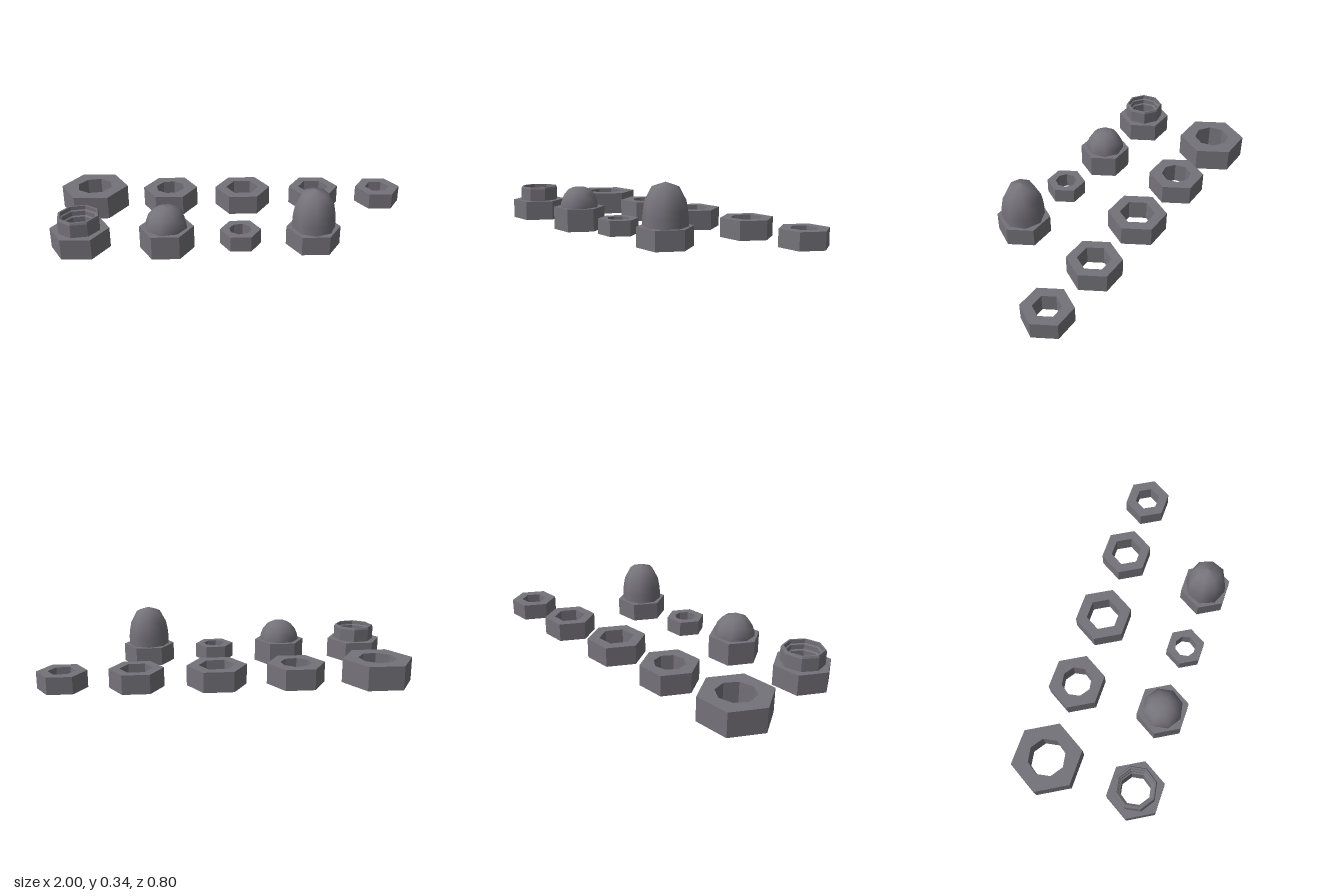
import * as THREE from 'three';

const steel = new THREE.MeshStandardMaterial({ color: 0x75737a });
steel.name = 'dark steel';

const TURN = THREE.MathUtils.degToRad(33); // corner offset of the round bores

function polygon(path, radius, sides, turn = 0) {
  for (let i = 0; i < sides; i++) {
    const a = turn + (i / sides) * Math.PI * 2;
    path[i ? 'lineTo' : 'moveTo'](radius * Math.cos(a), radius * Math.sin(a));
  }
  path.closePath();
  return path;
}

function add(parent, name, geometry) {
  const mesh = new THREE.Mesh(geometry, steel);
  mesh.name = name;
  parent.add(mesh);
  return mesh;
}

// Hexagonal body with a six-sided or eight-sided bore
function hexBody(parent, { r, hole, sides, y0, y1 }) {
  const shape = polygon(new THREE.Shape(), r, 6);
  shape.holes.push(polygon(new THREE.Path(), hole, sides, sides === 8 ? TURN : 0));
  const geometry = new THREE.ExtrudeGeometry(shape, { depth: y1 - y0, bevelEnabled: false });
  geometry.rotateX(-Math.PI / 2).translate(0, y0, 0);
  add(parent, 'hexBody', geometry);
}

function lathe(profile, turn) {
  const points = profile.map(([x, y]) => new THREE.Vector2(x, y));
  return new THREE.LatheGeometry(points, 8, turn);
}

// Smooth eight-sided cap closed by a flat floor inside the bore
function addDome(parent, profile, y, turn) {
  add(parent, 'dome', lathe(profile, turn));
  const floor = new THREE.CircleGeometry(profile[0][0], 8);
  floor.rotateX(Math.PI / 2).translate(0, y, 0);
  add(parent, 'boreFloor', floor);
}

// Raised faceted ring with a stepped inside
function addCollar(parent, y) {
  const geometry = lathe([
    [0.115, y], [0.115, 0.195], [0.11, 0.206], [0.1, 0.206],
    [0.1, 0.185], [0.092, 0.18], [0.092, 0.155], [0.083, 0.15], [0.083, y],
  ], TURN).toNonIndexed();
  geometry.computeVertexNormals();
  add(parent, 'collar', geometry);
}

const nuts = [
  // Back row, largest to smallest
  { name: 'extraLargeNut', x: -0.808, z: -0.238, r: 0.192, hole: 0.102, sides: 8, y0: 0.007, y1: 0.138 },
  { name: 'largeNut', x: -0.363, z: -0.238, r: 0.157, hole: 0.084, sides: 8, y0: 0.012, y1: 0.125 },
  { name: 'largeHexBoreNut', x: 0.062, z: -0.236, r: 0.16, hole: 0.096, sides: 6, y0: 0.015, y1: 0.124 },
  { name: 'mediumHexBoreNut', x: 0.484, z: -0.245, r: 0.144, hole: 0.088, sides: 6, y0: 0.017, y1: 0.12 },
  { name: 'smallHexBoreNut', x: 0.867, z: -0.243, r: 0.131, hole: 0.072, sides: 6, y0: 0.024, y1: 0.116 },
  // Front row
  { name: 'collarNut', x: -0.812, z: 0.262, r: 0.157, hole: 0.083, sides: 8, y0: 0.012, y1: 0.124 },
  { name: 'roundCapNut', x: -0.355, z: 0.26, r: 0.145, hole: 0.078, sides: 6, y0: 0, y1: 0.128 },
  { name: 'smallNut', x: 0.035, z: 0.267, r: 0.109, hole: 0.06, sides: 8, y0: 0.027, y1: 0.11 },
  { name: 'tallCapNut', x: 0.422, z: 0.264, r: 0.144, hole: 0.078, sides: 6, y0: 0.017, y1: 0.12 },
];

export function createModel() {
  const model = new THREE.Group();
  model.name = 'nutSet';
  for (const spec of nuts) {
    const nut = new THREE.Group();
    nut.name = spec.name;
    nut.position.set(spec.x, 0, spec.z);
    hexBody(nut, spec);
    if (spec.name === 'collarNut') addCollar(nut, spec.y1);
    if (spec.name === 'roundCapNut') {
      addDome(nut, [[0.112, 0.128], [0.11, 0.155], [0.096, 0.192], [0.068, 0.225], [0.035, 0.239], [0, 0.243]], spec.y1, TURN);
    }
    if (spec.name === 'tallCapNut') {
      addDome(nut, [[0.115, 0.12], [0.114, 0.17], [0.111, 0.2], [0.102, 0.25], [0.067, 0.316], [0, 0.338]], spec.y1, 0);
    }
    model.add(nut);
  }
  return model;
}
